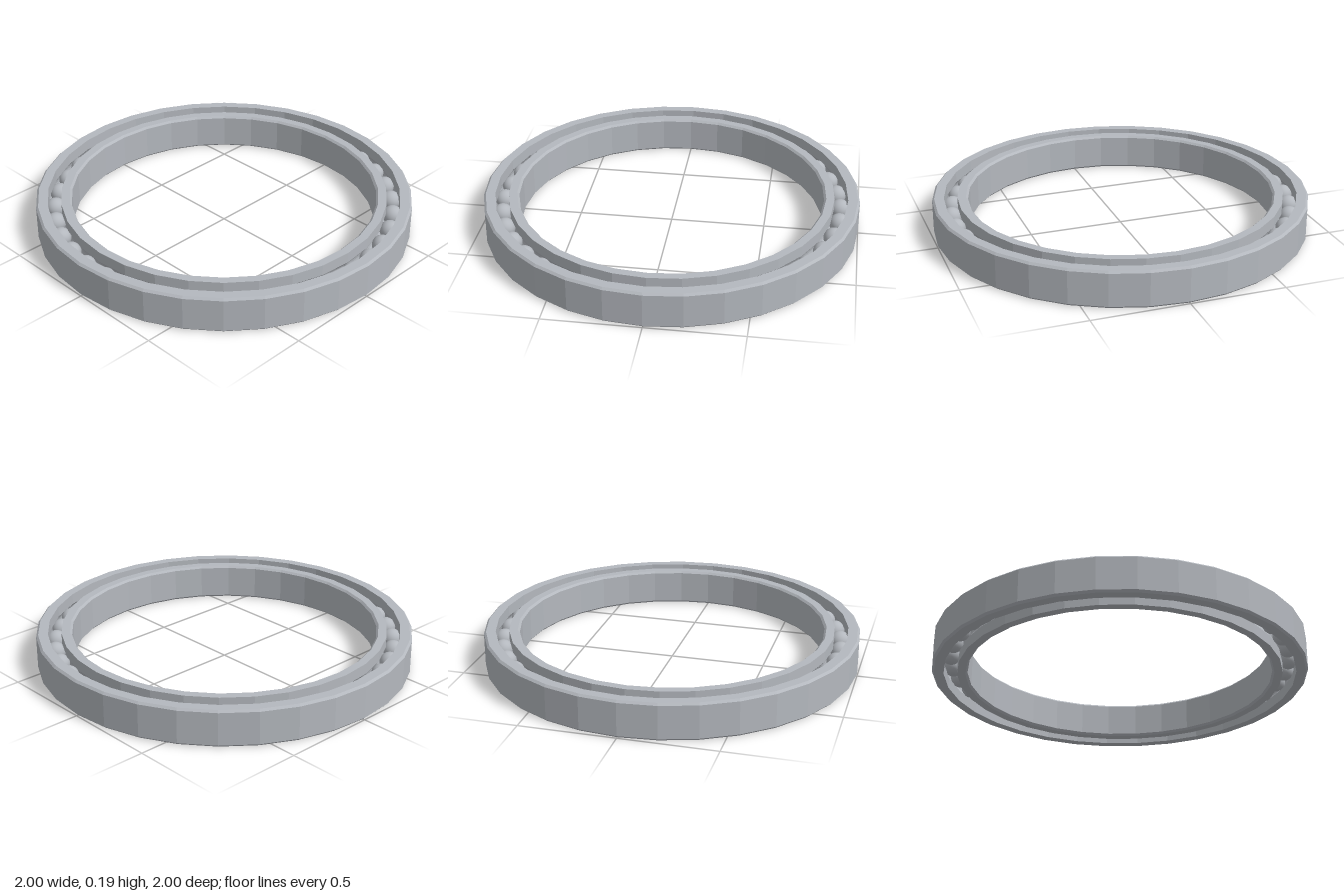
import * as THREE from 'three';

const H = 0.195;      // ring height
const C = 0.011;      // chamfer
const PITCH = 0.902;  // radius of the ball circle
const BALL_R = 0.053;
const BALLS = 38;
const SIDES = 32;

// Points of the ball groove, from lip radius `lip`; dir +1 = outer race, -1 = inner race
function groove(lip, dir, upward) {
  const a = Math.acos(Math.abs(lip - PITCH) / BALL_R);
  const pts = [];
  for (let i = 0; i <= 6; i++) {
    const t = a - (2 * a * i) / 6;
    const s = upward ? -t : t;
    pts.push([PITCH + dir * BALL_R * Math.cos(s), H / 2 + BALL_R * Math.sin(s)]);
  }
  return pts;
}

// Faceted ring turned from a closed profile
function ring(profile, material, name) {
  const pts = [...profile, profile[0]].map(([r, y]) => new THREE.Vector2(r, y));
  const geo = new THREE.LatheGeometry(pts, SIDES).toNonIndexed();
  geo.computeVertexNormals();
  const mesh = new THREE.Mesh(geo, material);
  mesh.name = name;
  return mesh;
}

export function createModel() {
  const group = new THREE.Group();
  group.name = 'ballBearing';
  const steel = new THREE.MeshStandardMaterial({ color: 0xb4b8be });
  steel.name = 'steel';

  // Outer ring: chamfered outside, grooved inside
  const lipOut = 0.938;
  group.add(ring([
    [1 - C, 0], [1, C], [1, H - C], [1 - C, H],
    [lipOut, H], ...groove(lipOut, 1, false), [lipOut, 0],
  ], steel, 'outerRing'));

  // Inner ring: grooved outside, chamfered bore
  const lipIn = 0.867, bore = 0.812;
  group.add(ring([
    [lipIn, 0], ...groove(lipIn, -1, true), [lipIn, H],
    [bore + C, H], [bore, H - C], [bore, C], [bore + C, 0],
  ], steel, 'innerRing'));

  // Balls
  const balls = new THREE.Group();
  balls.name = 'balls';
  const ballGeo = new THREE.SphereGeometry(BALL_R, 24, 16);
  for (let i = 0; i < BALLS; i++) {
    const a = (i / BALLS) * Math.PI * 2;
    const ball = new THREE.Mesh(ballGeo, steel);
    ball.name = 'ball';
    ball.position.set(PITCH * Math.cos(a), H / 2, PITCH * Math.sin(a));
    balls.add(ball);
  }
  group.add(balls);
  return group;
}
